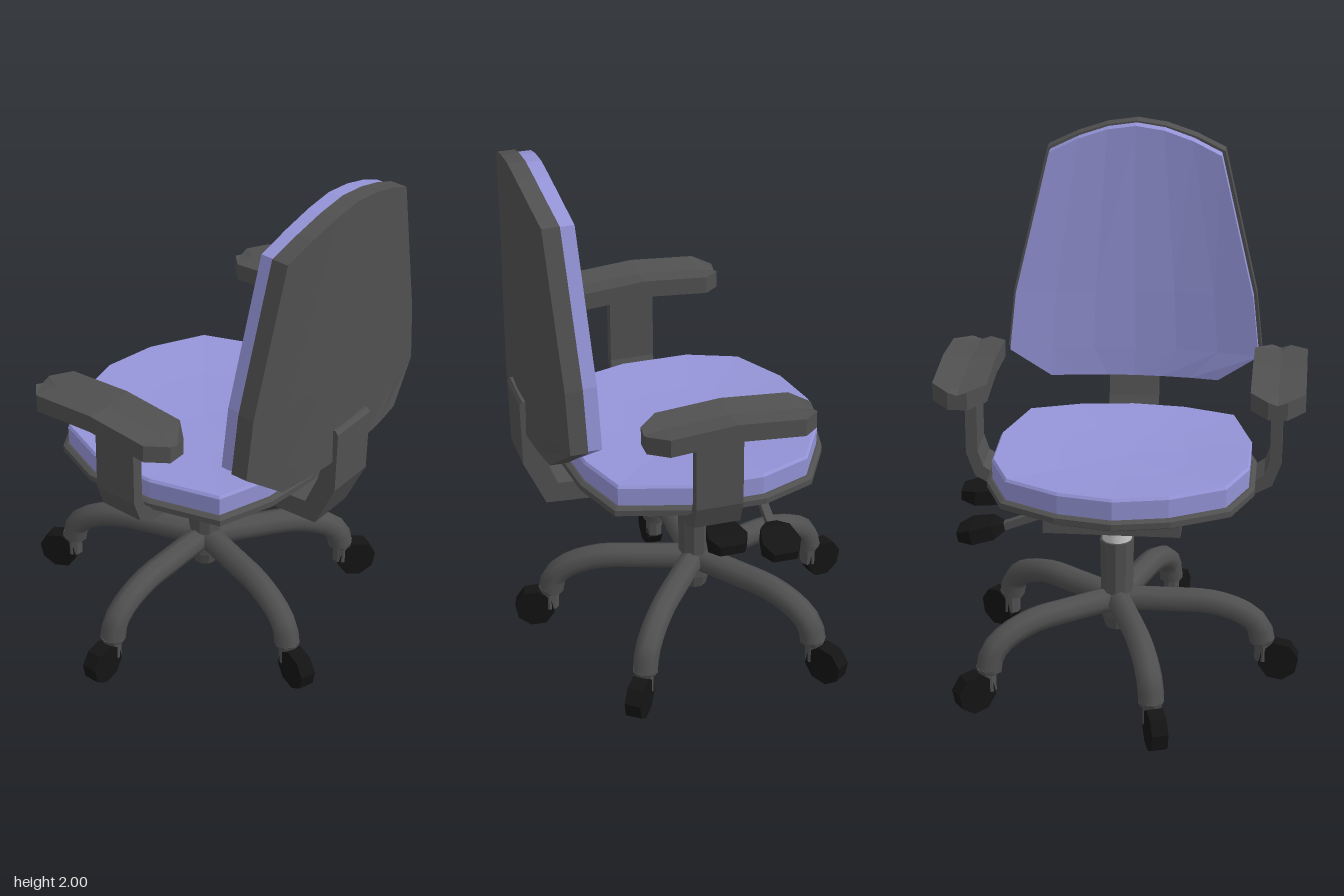
import * as THREE from 'three';

const flat = (color) => new THREE.MeshStandardMaterial({ color, flatShading: true });
const dark = flat(0x505050);
const blue = flat(0x9494d8);
const black = flat(0x141414);
const chrome = new THREE.MeshStandardMaterial({ color: 0xcccccc });
const smoothDark = new THREE.MeshStandardMaterial({ color: 0x505050 });

function add(parent, name, geometry, material, x = 0, y = 0, z = 0) {
  const mesh = new THREE.Mesh(geometry, material);
  mesh.name = name;
  mesh.position.set(x, y, z);
  parent.add(mesh);
  return mesh;
}

// Move every vertex of a geometry by a rule
function warp(geometry, rule) {
  const p = geometry.attributes.position;
  const v = new THREE.Vector3();
  for (let i = 0; i < p.count; i++) {
    v.fromBufferAttribute(p, i);
    rule(v, i);
    p.setXYZ(i, v.x, v.y, v.z);
  }
  geometry.computeVertexNormals();
  return geometry;
}

function extrude(points, depth) {
  const shape = new THREE.Shape(points.map(([x, y]) => new THREE.Vector2(x, y)));
  return new THREE.ExtrudeGeometry(shape, { depth, bevelEnabled: false });
}

// Rounded-square slab: a lathe whose spokes follow the seat outline
const half = [[0.2, 0.46], [0.4, 0.39], [0.475, 0.13], [0.475, -0.13], [0.4, -0.32], [0.2, -0.43]];
const outline = [[0, 0.48], ...half, [0, -0.47], ...half.map(([x, z]) => [-x, z]).reverse()];
function seatSlab(profile) {
  const geometry = new THREE.LatheGeometry(profile.map(([s, y]) => new THREE.Vector2(s, y)), outline.length);
  return warp(geometry, (v, i) => {
    const [x, z] = outline[Math.floor(i / profile.length) % outline.length];
    const s = profile[i % profile.length][0];
    v.x = x * s;
    v.z = z * s;
  });
}

// Curved backrest layer: box rows follow the outline, columns bend in z
const backRows = [[1.0, 0.335], [1.12, 0.49], [1.35, 0.465], [1.9, 0.335]];
function backPanel(zFront, zBack, inset) {
  return warp(new THREE.BoxGeometry(2, 3, 1, 6, 3, 1), (v) => {
    const row = Math.round(v.y + 1.5);
    const f = v.x;
    const [y, w] = backRows[row];
    v.x = f * (w - inset);
    v.y = y + (row === 3 ? 0.1 * (1 - Math.abs(f) ** 1.7) - inset * 0.5 : row === 0 ? inset * 0.5 : 0);
    v.z = (v.z < 0 ? zFront : zBack) - 0.29 * v.x * v.x;
  });
}

// Arm pad: tapered ends, raised middle, slightly dished top
function padGeometry() {
  const zs = [-0.27, -0.21, 0.035, 0.27, 0.337];
  const widths = [0.035, 0.098, 0.098, 0.098, 0.035];
  const lift = [0, 0.012, 0.03, 0.01, 0];
  return warp(new THREE.BoxGeometry(2, 1, 4, 2, 1, 4), (v) => {
    const k = Math.round(v.z + 2);
    const dish = v.y > 0 && v.x === 0 ? 0.012 : 0;
    v.x *= widths[k];
    v.y = 1.15 + lift[k] + (v.y > 0 ? 0.066 - dish : 0);
    v.z = zs[k];
  });
}

function buildBase() {
  const base = new THREE.Group();
  base.name = 'base';
  base.position.set(0.022, 0, -0.01);
  add(base, 'hub', new THREE.CylinderGeometry(0.065, 0.06, 0.31, 10), dark, 0, 0.4, 0);
  add(base, 'hubFoot', new THREE.CylinderGeometry(0.06, 0.045, 0.06, 10), dark, 0, 0.225, 0);
  add(base, 'gasLift', new THREE.CylinderGeometry(0.055, 0.055, 0.18, 16), chrome, 0, 0.61, 0);

  const path = new THREE.CatmullRomCurve3(
    [[0, 0.31], [0.2, 0.31], [0.36, 0.305], [0.48, 0.265], [0.535, 0.215], [0.55, 0.155]]
      .map(([x, y]) => new THREE.Vector3(x, y, 0)));
  const tube = new THREE.TubeGeometry(path, 14, 0.048, 8);
  for (let i = 0; i < 5; i++) {
    const leg = new THREE.Group();
    leg.name = 'leg' + (i + 1);
    leg.rotation.y = Math.PI + (i * Math.PI * 2) / 5;
    add(leg, 'legTube', tube, smoothDark);
    // flat end cap, then caster stem and wheel
    add(leg, 'legCap', new THREE.CylinderGeometry(0.048, 0.042, 0.02, 8), dark, 0.551, 0.155, 0);
    add(leg, 'casterStem', new THREE.CylinderGeometry(0.033, 0.033, 0.08, 8), dark, 0.555, 0.115, 0);
    const wheel = new THREE.CylinderGeometry(0.077, 0.077, 0.06, 8).rotateX(Math.PI / 2).rotateZ(0.2);
    add(leg, 'casterWheel', wheel, black, 0.613, 0.078, 0);
    base.add(leg);
  }
  return base;
}

function buildArm(side) {
  const arm = new THREE.Group();
  arm.name = side > 0 ? 'leftArm' : 'rightArm';
  add(arm, 'armPad', padGeometry(), dark, side * 0.567, 0, 0);
  // bent bracket from under the seat up to the pad
  const bracket = [[0.2, 0.745], [0.48, 0.752], [0.55, 0.79], [0.583, 0.88], [0.583, 1.17],
    [0.54, 1.17], [0.54, 0.89], [0.52, 0.83], [0.46, 0.788], [0.2, 0.78]];
  add(arm, 'armBracket', extrude(bracket.map(([x, y]) => [x * side, y]), 0.17), dark, 0, 0, -0.015);
  return arm;
}

function buildLever(name, z, from, grip, tip) {
  const lever = new THREE.Group();
  lever.name = name;
  const a = new THREE.Vector3(from[0], from[1], 0);
  const b = new THREE.Vector3(grip[0], grip[1], 0);
  const angle = Math.atan2(b.y - a.y, b.x - a.x);
  const rod = add(lever, 'leverRod', new THREE.BoxGeometry(a.distanceTo(b) + 0.04, 0.028, 0.03), dark);
  rod.position.copy(a).add(b).multiplyScalar(0.5);
  rod.rotation.z = angle;
  // paddle: narrow root, wide middle, blunt tip
  const xs = [0, 0.04, 0.12, 1];
  const widths = [0.02, 0.055, 0.072, 0.045];
  const thick = [0.014, 0.028, 0.028, 0.018];
  xs[3] = Math.hypot(tip[0] - grip[0], tip[1] - grip[1]);
  const paddle = warp(new THREE.BoxGeometry(3, 2, 2, 3, 1, 1), (v) => {
    const k = Math.round(v.x + 1.5);
    v.set(xs[k], v.y * thick[k], v.z * widths[k]);
  });
  const mesh = add(lever, 'leverPaddle', paddle, black, grip[0], grip[1], 0);
  mesh.rotation.z = Math.atan2(tip[1] - grip[1], tip[0] - grip[0]);
  lever.position.z = z;
  return lever;
}

export function createModel() {
  const chair = new THREE.Group();
  chair.name = 'officeChair';

  chair.add(buildBase());

  // Seat pan and cushion
  add(chair, 'seatPan', seatSlab([[0, 0.755], [0.6, 0.765], [1.0, 0.792], [1.03, 0.8], [1.03, 0.822], [1, 0.83], [0, 0.83]]), dark);
  add(chair, 'seatCushion', seatSlab([[0, 0.825], [0.985, 0.825], [0.99, 0.9], [0.975, 0.91], [0.5, 0.893], [0, 0.885]]), blue);

  // Mechanism under the seat
  add(chair, 'mechanism', new THREE.BoxGeometry(0.5, 0.085, 0.5), dark, 0.02, 0.722, -0.01);

  // Back support bar, drawn as z,y and swept along x
  const bar = [[0.2, 0.685], [0.575, 0.705], [0.655, 0.88], [0.66, 1.12], [0.65, 1.135], [0.6, 1.135],
    [0.6, 0.98], [0.58, 0.9], [0.53, 0.78], [0.2, 0.76]];
  const barGeometry = extrude(bar.map(([z, y]) => [-z, y]), 0.19).rotateY(Math.PI / 2);
  add(chair, 'backSupport', barGeometry, dark, -0.085, 0, 0);

  // Backrest shell and cushion
  add(chair, 'backShell', backPanel(0.58, 0.643, 0), dark);
  add(chair, 'backCushion', backPanel(0.525, 0.582, 0.012), blue);

  for (const side of [1, -1]) chair.add(buildArm(side));

  // Adjustment levers
  chair.add(buildLever('heightLever', 0.03, [0.25, 0.74], [0.43, 0.705], [0.605, 0.708]));
  chair.add(buildLever('tiltLever', -0.175, [0.25, 0.73], [0.42, 0.665], [0.59, 0.63]));

  return chair;
}
